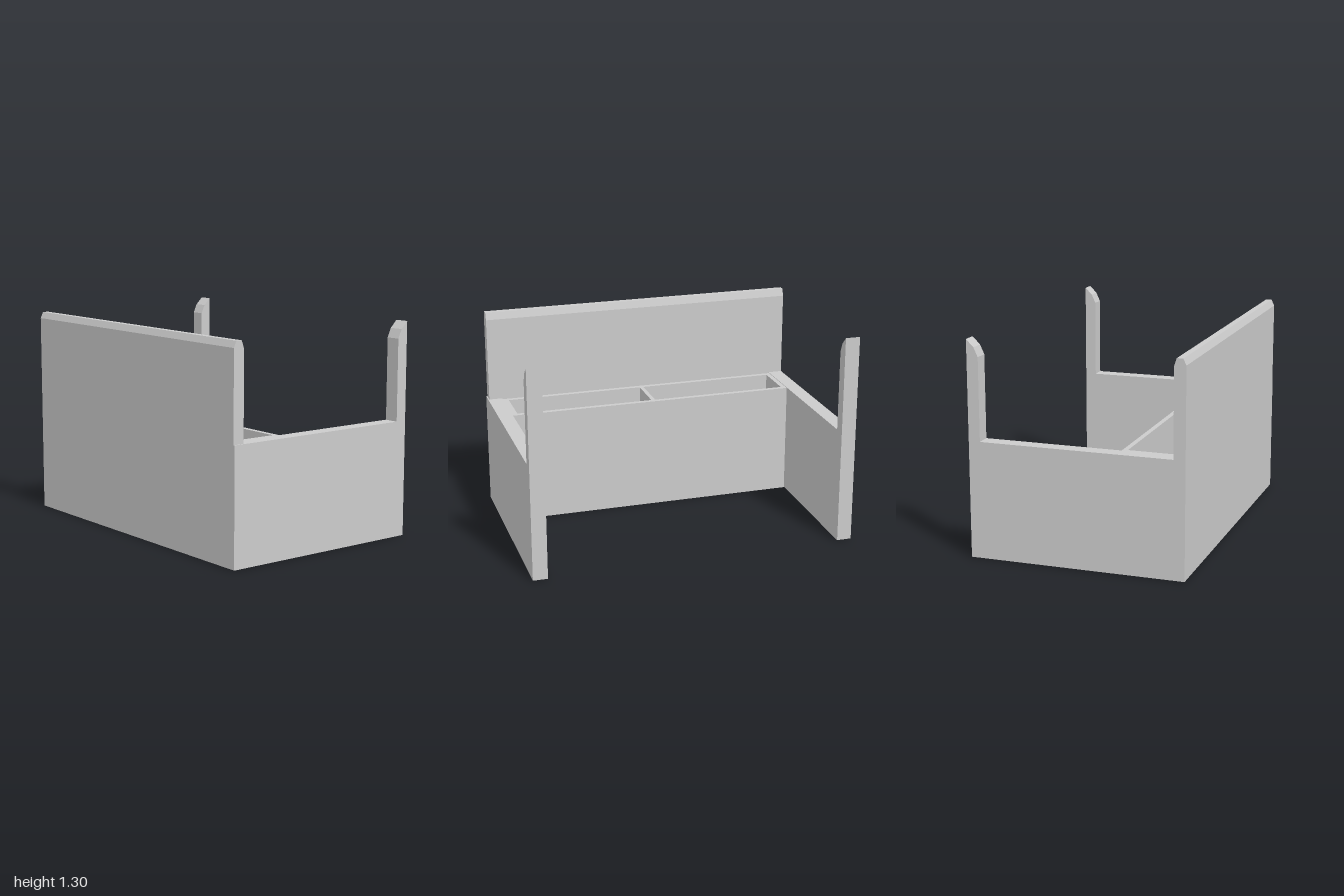
import * as THREE from 'three';

const material = new THREE.MeshStandardMaterial({ color: 0xcccccc, flatShading: true });

// Extrudes a [z, y] outline along x, from x0 to x1
function panel(name, outline, x0, x1) {
  const shape = new THREE.Shape(outline.map(([z, y]) => new THREE.Vector2(-z, y)));
  const geometry = new THREE.ExtrudeGeometry(shape, { depth: x1 - x0, bevelEnabled: false });
  geometry.rotateY(Math.PI / 2);
  geometry.translate(x0, 0, 0);
  const mesh = new THREE.Mesh(geometry, material);
  mesh.name = name;
  return mesh;
}

// Corners of a counterclockwise rectangle, for a plan that is laid flat with z pointing down
function rectangle(x0, x1, z0, z1) {
  return [[x0, -z1], [x1, -z1], [x1, -z0], [x0, -z0]].map(([x, y]) => new THREE.Vector2(x, y));
}

export function createModel() {
  const group = new THREE.Group();
  group.name = 'deskOrganizer';

  // Side panels, each with a tall slanted post at the back
  const side = [[0.65, 0.003], [-0.65, 0.003], [-0.65, 1.3], [-0.605, 1.255],
    [-0.58, 1.2], [-0.58, 0.705], [0.65, 0.705]];
  group.add(panel('leftSide', side, 0.91, 1));
  group.add(panel('rightSide', side, -1, -0.91));

  // Tall front panel with a chamfered top edge
  const front = [[0.65, 0.003], [0.58, 0.003], [0.58, 1.23], [0.595, 1.275],
    [0.632, 1.275], [0.65, 1.237]];
  group.add(panel('frontPanel', front, -1, 0.993));

  // Storage tray: walls around two compartments, with a slit left behind the front panel
  const walls = new THREE.Shape(rectangle(-0.91, 0.91, 0.245, 0.57));
  for (const [x0, x1] of [[-0.88, -0.02], [0.005, 0.875]]) {
    walls.holes.push(new THREE.Path(rectangle(x0, x1, 0.275, 0.54)));
  }
  const wallGeometry = new THREE.ExtrudeGeometry(walls, { depth: 0.702, bevelEnabled: false });
  wallGeometry.rotateX(-Math.PI / 2);
  const tray = new THREE.Mesh(wallGeometry, material);
  tray.name = 'trayWalls';
  group.add(tray);

  // Tray floor
  const floor = new THREE.Mesh(new THREE.BoxGeometry(1.8, 0.03, 0.3), material);
  floor.position.set(0, 0.015, 0.4075);
  floor.name = 'trayFloor';
  group.add(floor);

  return group;
}
